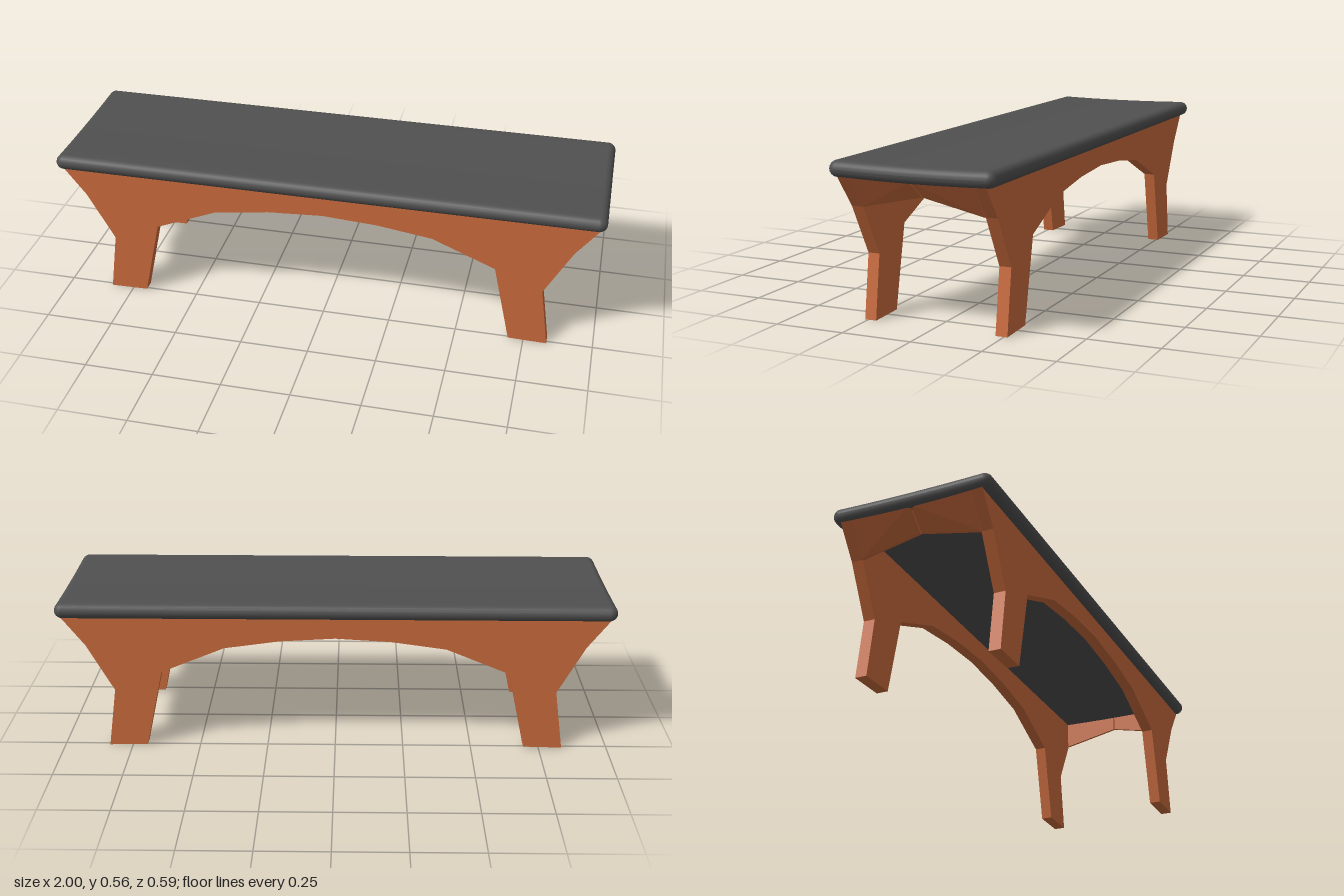
import * as THREE from 'three';
import { ConvexGeometry } from 'three/addons/geometries/ConvexGeometry.js';

const wood = new THREE.MeshStandardMaterial({ color: 0xc86a3c, flatShading: true });
const cushion = new THREE.MeshStandardMaterial({ color: 0x505050 });

// Padded top: rounded slab, slightly dished across its depth, lofted along x
function seatGeometry() {
  const r = 0.028, halfX = 1 - r, halfZ = 0.265, midY = 0.534;
  const spans = 10, arc = 8, capSteps = 6;
  const sag = (z) => 0.004 * (1 - (z / halfZ) ** 2);

  // Section as core points plus outward directions
  const section = [];
  for (const s of [1, -1]) {
    for (let i = 0; i < spans; i++) section.push([s * halfZ * (1 - (2 * i) / spans), Math.PI / 2 * s]);
    for (let i = 0; i < arc; i++) section.push([-s * halfZ, (s * Math.PI) / 2 + (Math.PI * i) / arc]);
  }

  // Stations along x, rounding over at both ends
  const stations = [];
  for (const s of [-1, 1]) {
    for (let i = 0; i <= capSteps; i++) {
      const a = (Math.PI / 2) * (s < 0 ? 1 - i / capSteps : i / capSteps);
      stations.push([s * (halfX + r * Math.sin(a)), r * Math.cos(a)]);
    }
  }

  const pos = [], index = [], n = section.length;
  for (const [x, rad] of stations) {
    for (const [z, a] of section) {
      pos.push(x, midY - sag(z) + rad * Math.sin(a), z + rad * Math.cos(a));
    }
  }
  for (let j = 0; j < stations.length - 1; j++) {
    for (let i = 0; i < n; i++) {
      const a = j * n + i, b = j * n + ((i + 1) % n), c = a + n, d = b + n;
      index.push(a, c, b, b, c, d);
    }
  }
  const geo = new THREE.BufferGeometry();
  geo.setAttribute('position', new THREE.Float32BufferAttribute(pos, 3));
  geo.setIndex(index);
  geo.computeVertexNormals();
  return geo;
}

// Arched side board with splayed legs, mirrored about x = 0
function sideGeometry() {
  const half = [
    [0.985, 0.51], [0.9, 0.4], [0.803, 0.223], [0.835, 0], [0.695, 0.003],
    [0.63, 0.295], [0.4, 0.39], [0.2, 0.418],
  ];
  const mirrored = half.map(([x, y]) => [-x, y]).reverse();
  const outline = [...half, [0, 0.43], ...mirrored];
  const shape = new THREE.Shape(outline.map(([x, y]) => new THREE.Vector2(x, y)));
  return new THREE.ExtrudeGeometry(shape, { depth: 0.042, bevelEnabled: false });
}

// Wedge under the end of the seat, from a side board to the middle
function braceGeometry(sx, sz) {
  const points = [[0.22, 0.4], [0.002, 0.447]].flatMap(([z, low]) => [
    [0.895, low, z], [0.905, low, z], [0.895, 0.51, z], [0.985, 0.51, z],
  ]);
  return new ConvexGeometry(points.map(([x, y, z]) => new THREE.Vector3(sx * x, y, sz * z)));
}

export function createModel() {
  const group = new THREE.Group();
  group.name = 'bench';
  const add = (name, geo, mat) => {
    const mesh = new THREE.Mesh(geo, mat);
    mesh.name = name;
    group.add(mesh);
    return mesh;
  };

  add('seat', seatGeometry(), cushion);

  const side = sideGeometry();
  add('frontSide', side, wood).position.z = 0.22;
  add('backSide', side, wood).position.z = -0.262;

  for (const sx of [1, -1]) {
    for (const sz of [1, -1]) {
      const name = (sz > 0 ? 'front' : 'back') + (sx > 0 ? 'Left' : 'Right') + 'Brace';
      add(name, braceGeometry(sx, sz), wood);
    }
  }
  return group;
}
